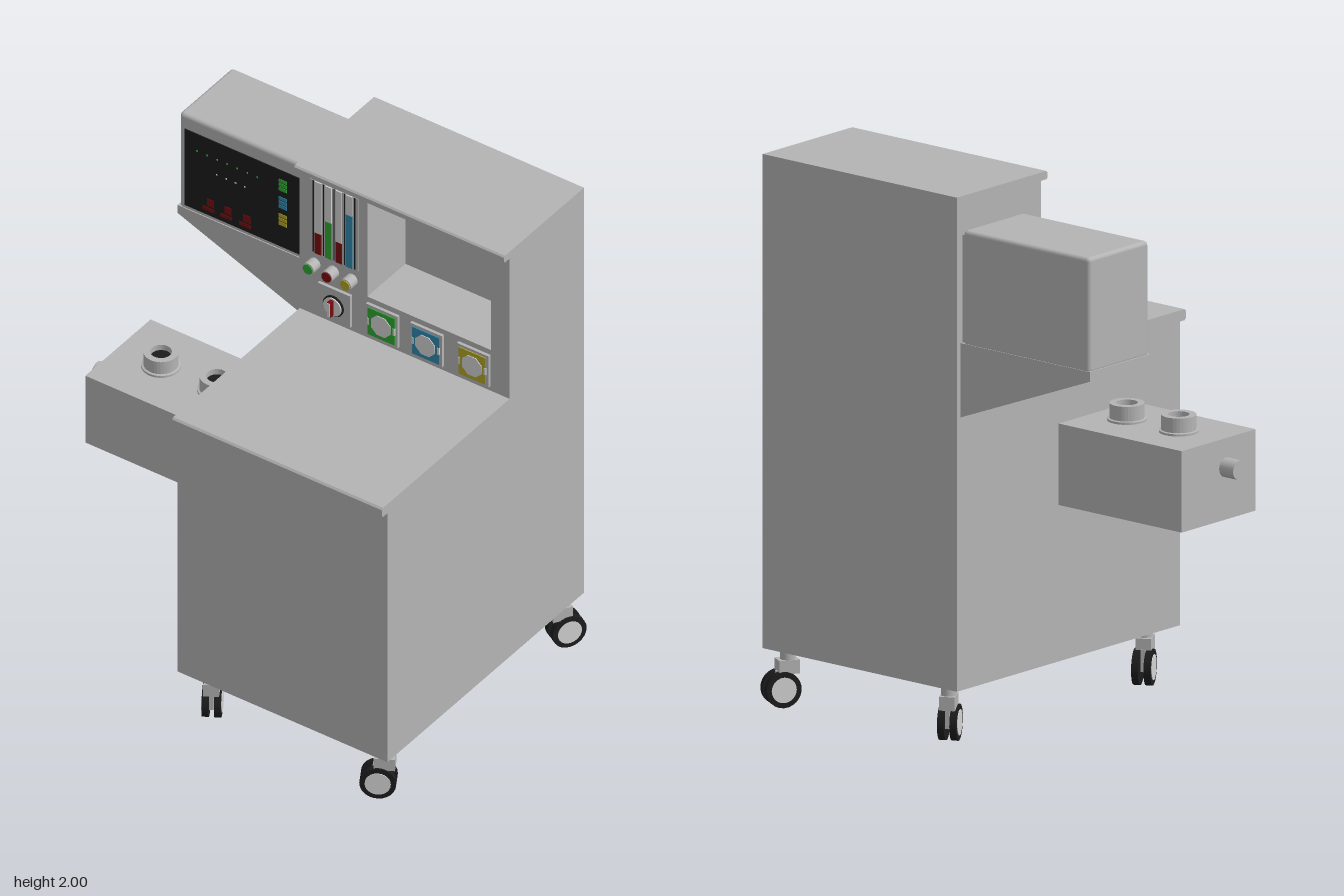
import * as THREE from 'three';
import { RoundedBoxGeometry } from 'three/addons/geometries/RoundedBoxGeometry.js';

const paint = (name, color) => Object.assign(new THREE.MeshStandardMaterial({ color }), { name });

export function createModel() {
  const root = new THREE.Group();
  root.name = 'medicalCart';
  const grey = paint('cabinet grey', 0xb4b4b4);
  const pale = paint('pale grey', 0xd4d4d4);
  const black = paint('black', 0x1c1c1c);
  const red = paint('dark red', 0x7a0a0e);
  const green = paint('green', 0x2fa833);
  const blue = paint('blue', 0x3088ae);
  const yellow = paint('yellow', 0xb0a428);

  function add(name, geo, mat, x = 0, y = 0, z = 0, parent = root) {
    const m = new THREE.Mesh(geo, mat);
    m.name = name;
    m.position.set(x, y, z);
    parent.add(m);
    return m;
  }
  // box given by its limits
  function box(name, mat, x0, x1, y0, y1, z0, z1, parent = root) {
    return add(name, new THREE.BoxGeometry(x1 - x0, y1 - y0, z1 - z0), mat,
      (x0 + x1) / 2, (y0 + y1) / 2, (z0 + z1) / 2, parent);
  }
  // cylinder along x, y or z, centred at the given point
  function rod(name, mat, r, len, axis, x, y, z, parent = root, sides = 24) {
    const g = new THREE.CylinderGeometry(r, r, len, sides);
    if (axis === 'x') g.rotateZ(Math.PI / 2);
    if (axis === 'z') g.rotateX(Math.PI / 2);
    return add(name, g, mat, x, y, z, parent);
  }
  function outline(points) {
    return new THREE.Shape(points.map(([a, b]) => new THREE.Vector2(a, b)));
  }
  const extrude = (shape, depth) => new THREE.ExtrudeGeometry(shape, { depth, bevelEnabled: false });

  // Cabinet: a side profile in (-z, y) swept across x, with lips on counter and top
  const lower = outline([
    [-0.6, 0.21], [0.59, 0.21], [0.59, 2], [0.37, 2], [0.37, 1.35],
    [-0.625, 1.35], [-0.632, 1.343], [-0.632, 1.317], [-0.625, 1.31], [-0.6, 1.31],
  ]);
  add('cabinet', extrude(lower, 0.9).rotateY(Math.PI / 2), grey, -0.13);

  // Upper console with the open niche
  const consoleFront = outline([[-0.13, 1.35], [0.77, 1.35], [0.77, 2], [-0.13, 2]]);
  consoleFront.holes.push(outline([[0.16, 1.53], [0.16, 1.97], [0.69, 1.97], [0.69, 1.53]]));
  add('console', extrude(consoleFront, 0.23), grey, 0, 0, -0.37);
  const lip = outline([[0.14, 1.97], [0.14, 2], [0.112, 2], [0.106, 1.994], [0.106, 1.976], [0.112, 1.97]]);
  add('topLip', extrude(lip, 0.9).rotateY(Math.PI / 2), grey, -0.13);

  // Monitor on its wedge bracket
  const wedge = outline([[-0.73, 1.435], [-0.13, 1.2], [-0.13, 1.47], [-0.73, 1.47]]);
  add('monitorBracket', extrude(wedge, 0.325), grey, 0, 0, -0.572);
  add('monitorCase', new RoundedBoxGeometry(0.585, 0.42, 0.32, 3, 0.015), grey, -0.4325, 1.67, -0.41);
  box('monitorHinge', grey, -0.15, -0.13, 1.47, 1.86, -0.56, -0.26);
  box('screen', black, -0.7, -0.17, 1.485, 1.82, -0.252, -0.246);
  const mark = (name, mat, x, y, w, h) =>
    box(name, mat, x - w / 2, x + w / 2, y - h / 2, y + h / 2, -0.247, -0.244);
  [[green, 1.757], [blue, 1.68], [yellow, 1.605]].forEach(([mat, y]) => {
    for (const dy of [-0.018, 0, 0.018]) mark('screenIcon', mat, -0.277, y + dy, 0.034, 0.014);
  });
  for (let i = 0; i < 7; i++) mark('traceDot', green, -0.645 + i * 0.043, 1.747, 0.006, 0.006);
  for (let i = 0; i < 4; i++) mark('traceDot', pale, -0.56 + i * 0.04, 1.68, 0.006, 0.005);
  for (const x of [-0.595, -0.52, -0.44]) {
    mark('readoutBar', red, x, 1.512, 0.05, 0.014);
    mark('readoutBar', red, x + 0.008, 1.542, 0.03, 0.03);
  }

  // Flow gauges: frame, tubes and coloured columns
  const face = -0.14;
  box('gaugeFrame', grey, -0.083, 0.122, 1.625, 1.945, face, face + 0.004);
  [[red, 1.72], [green, 1.79], [red, 1.72], [blue, 1.86]].forEach(([mat, top], i) => {
    const x = -0.047 + i * 0.0445;
    box('gaugeTube', pale, x - 0.013, x + 0.013, top, 1.945, face, face + 0.008);
    box('gaugeColumn', mat, x - 0.013, x + 0.013, 1.63, top, face, face + 0.009);
  });
  for (let i = 0; i < 5; i++) {
    const x = -0.069 + i * 0.0445;
    box('gaugeSlot', black, x - 0.002, x + 0.002, 1.63, 1.945, face, face + 0.005);
  }

  // Flow knobs
  [[green, -0.065], [red, 0.015], [yellow, 0.095]].forEach(([mat, x]) => {
    rod('flowKnob', grey, 0.024, 0.042, 'z', x, 1.577, face + 0.021);
    rod('flowKnobCap', mat, 0.02, 0.004, 'z', x, 1.577, face + 0.044);
  });

  // Main switch
  box('switchPlate', grey, -0.045, 0.095, 1.37, 1.508, face, face + 0.012);
  rod('switchRing', black, 0.043, 0.008, 'z', 0.025, 1.437, face + 0.015);
  rod('switchDial', pale, 0.038, 0.016, 'z', 0.025, 1.437, face + 0.016);
  box('switchHandle', red, 0.018, 0.032, 1.405, 1.469, face + 0.02, face + 0.044);
  box('switchHandleFace', pale, 0.02, 0.03, 1.407, 1.467, face + 0.044, face + 0.047);

  // Square pressure dials with octagonal windows
  [[green, 0.23], [blue, 0.42], [yellow, 0.62]].forEach(([mat, x]) => {
    box('dialPlate', grey, x - 0.068, x + 0.068, 1.37, 1.508, face, face + 0.012);
    box('dialBorder', mat, x - 0.058, x + 0.058, 1.38, 1.497, face + 0.01, face + 0.016);
    const windowMesh = rod('dialWindow', pale, 0.045, 0.008, 'z', x, 1.4385, face + 0.015, root, 8);
    windowMesh.rotation.z = Math.PI / 8;
    for (const s of [-1, 1]) {
      box('dialNotch', pale, x + s * 0.055 - 0.004, x + s * 0.055 + 0.004, 1.424, 1.453, face + 0.01, face + 0.018);
    }
  });

  // Side unit with two filler necks, an outlet and round mounts
  box('sideUnit', grey, -0.72, -0.15, 0.785, 1.08, -0.07, 0.325);
  const neck = [[0.07, 0], [0.07, 0.008], [0.062, 0.01], [0.062, 0.063], [0.038, 0.063], [0.038, 0.01]]
    .flatMap(([r, y], i) => {
      const p = new THREE.Vector2(r, y);
      return i ? [p, p.clone()] : [p];
    });
  for (const x of [-0.537, -0.297]) {
    const mesh = add('fillerNeck', new THREE.LatheGeometry(neck, 32), grey, x, 1.08, 0.125);
    mesh.geometry = mesh.geometry.toNonIndexed();
    mesh.geometry.computeVertexNormals();
    rod('fillerCore', black, 0.038, 0.04, 'y', x, 1.1, 0.125);
  }
  rod('outlet', grey, 0.035, 0.065, 'x', -0.752, 0.975, 0.165);
  for (const z of [0.025, 0.255]) {
    rod('mountBoss', grey, 0.06, 0.03, 'x', -0.14, 0.975, z);
    rod('mountFlange', grey, 0.071, 0.012, 'x', -0.136, 0.975, z);
  }

  // Twin-wheel casters: stem position and direction in which the wheels trail
  [[-0.035, 0.525, -0.5, -0.86], [-0.035, -0.525, 0.5, 0.86],
    [0.71, 0.525, -0.86, 0.5], [0.71, -0.525, 0.5, -0.86]].forEach(([x, z, dx, dz]) => {
    const caster = new THREE.Group();
    caster.name = 'caster';
    caster.position.set(x, 0, z);
    caster.rotation.y = Math.atan2(dx, dz);
    root.add(caster);
    rod('stem', grey, 0.027, 0.06, 'y', 0, 0.185, 0, caster);
    box('fork', grey, -0.028, 0.028, 0.12, 0.17, -0.035, 0.04, caster);
    box('forkWeb', grey, -0.008, 0.008, 0.05, 0.13, -0.02, 0.045, caster);
    for (const s of [-1, 1]) {
      rod('tyre', black, 0.065, 0.024, 'x', s * 0.022, 0.065, 0.025, caster);
      rod('hub', pale, 0.046, 0.004, 'x', s * 0.0345, 0.065, 0.025, caster);
    }
  });

  return root;
}
